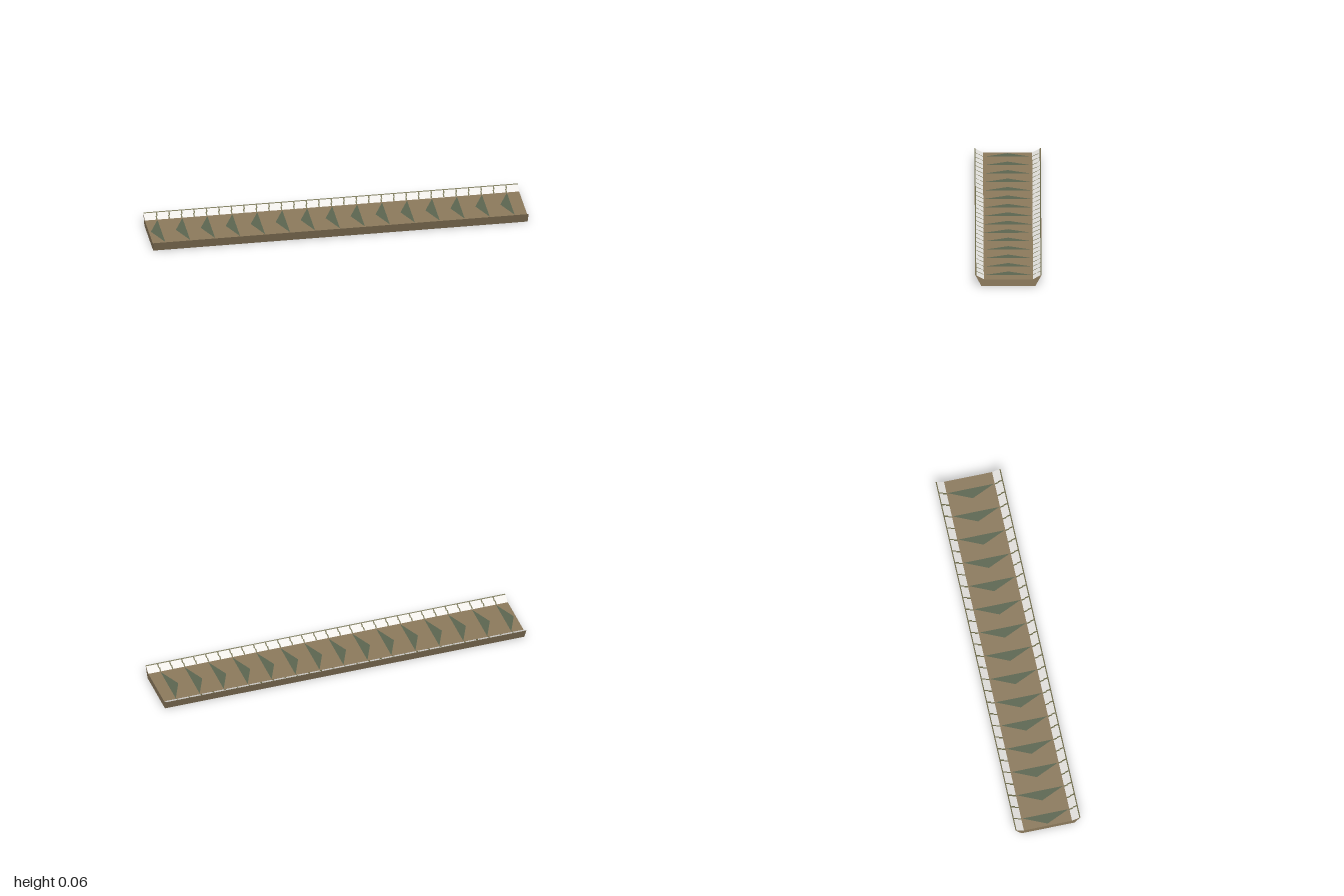
import * as THREE from 'three';

const flat = (name, color) => {
  const m = new THREE.MeshStandardMaterial({ color });
  m.name = name;
  return m;
};

export function createModel() {
  const brown = flat('earth brown', 0x8b795c);
  const green = flat('moss green', 0x5b6550);
  const olive = flat('olive', 0x6f6d4c);
  const white = flat('curb white', 0xf0eeea);
  const teal = flat('teal', 0x0097a8);
  const model = new THREE.Group();
  model.name = 'trackSection';

  const add = (parent, name, geometry, material, x = 0, y = 0, z = 0) => {
    const mesh = new THREE.Mesh(geometry, material);
    mesh.name = name;
    mesh.position.set(x, y, z);
    parent.add(mesh);
  };
  const plate = (width, depth) => new THREE.PlaneGeometry(width, depth).rotateX(-Math.PI / 2);

  // Channel-shaped body with flared lips, drawn in (z, y) and run along x
  const profile = new THREE.Shape([
    [-0.143, 0], [0.143, 0], [0.175, 0.061], [0.13, 0.036], [-0.13, 0.036], [-0.175, 0.061],
  ].map(([z, y]) => new THREE.Vector2(z, y)));
  const body = new THREE.ExtrudeGeometry(profile, { depth: 2, bevelEnabled: false });
  body.rotateY(-Math.PI / 2).translate(1, 0, 0);
  add(model, 'body', body, brown);

  // Direction arrows on the floor, pointing toward -x
  const arrow = new THREE.ShapeGeometry(new THREE.Shape([
    new THREE.Vector2(-0.056, 0), new THREE.Vector2(0, -0.125), new THREE.Vector2(0, 0.125),
  ]));
  arrow.rotateX(-Math.PI / 2);
  for (let i = 0; i < 15; i++) {
    add(model, 'floorArrow', arrow, green, -0.933 + i * 2 / 15, 0.037, 0);
  }

  // White sloping curbs with an olive rim and stepped joints, mirrored front and back
  const slope = Math.atan2(0.025, 0.045);
  const curbPlate = plate(2, 0.045);
  const rim = plate(2, 0.006);
  const joint = plate(0.007, 0.0225);
  const line = new THREE.PlaneGeometry(2, 0.007).rotateX(Math.PI / 2);
  for (const side of [1, -1]) {
    const curb = new THREE.Group();
    curb.name = side > 0 ? 'frontCurb' : 'backCurb';
    curb.position.set(0, 0.0485, side * 0.1525);
    curb.rotation.x = -side * slope;
    add(curb, 'curbPlate', curbPlate, white, 0, 0.001, -side * 0.003);
    add(curb, 'curbRim', rim, olive, 0, 0.001, side * 0.0225);
    for (let i = 1; i < 30; i++) {
      const x = -1 + i / 15;
      add(curb, 'curbJointOuter', joint, olive, x + 0.002, 0.0016, side * 0.00825);
      add(curb, 'curbJointInner', joint, olive, x - 0.002, 0.0016, -side * 0.01425);
    }
    model.add(curb);

    // Narrow line along the underside
    add(model, 'undersideLine', line, teal, 0, -0.0008, side * 0.108);
  }
  return model;
}
